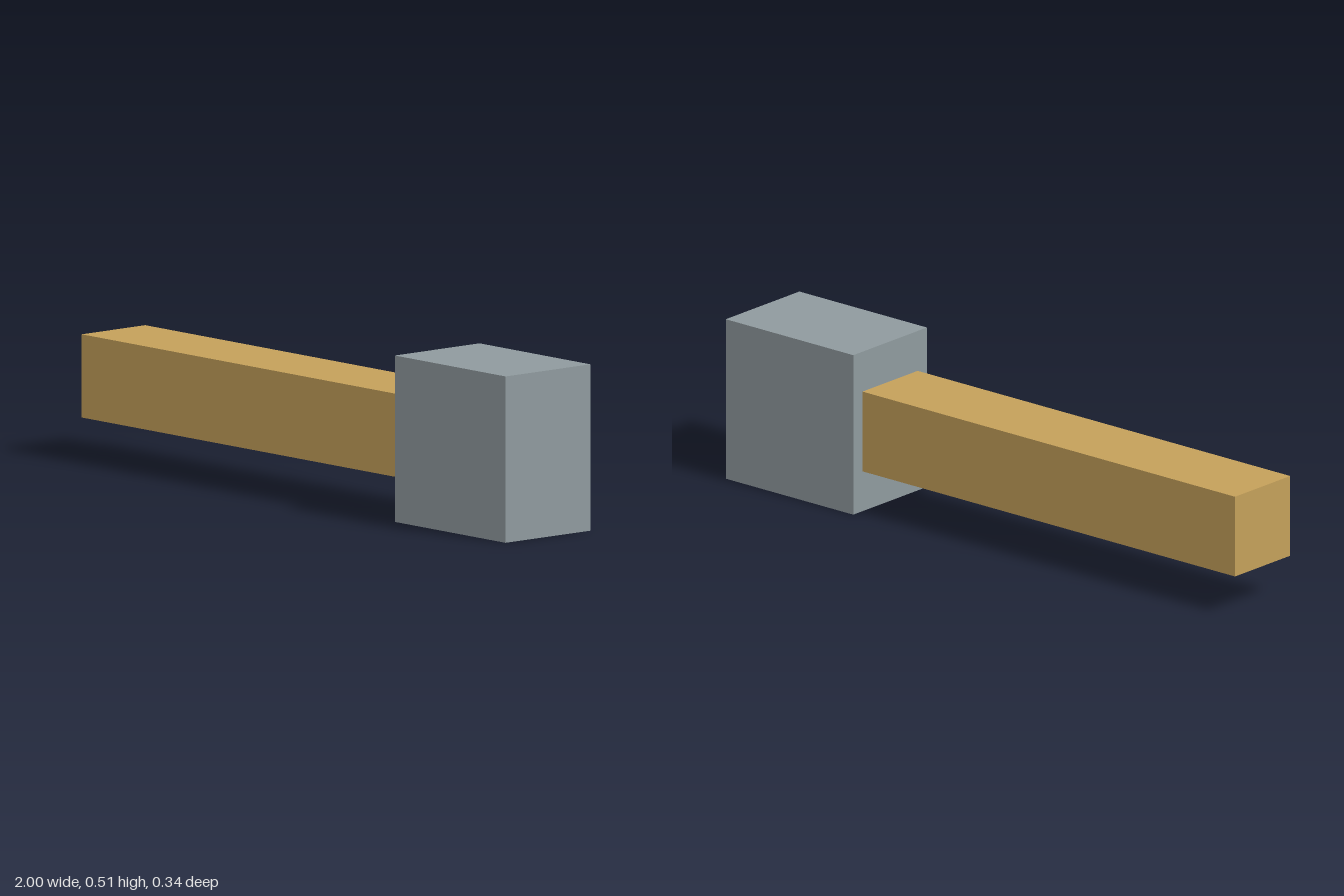
import * as THREE from 'three';

export function createModel() {
  const group = new THREE.Group();
  group.name = 'hammer';

  const wood = new THREE.MeshStandardMaterial({ color: 0xc4a05a });
  wood.name = 'wood';
  const steel = new THREE.MeshStandardMaterial({ color: 0x8f9a9e });
  steel.name = 'grey steel';

  // Block of a given size, centred at mid-height on the long axis
  const block = (name, material, length, height, depth, x) => {
    const mesh = new THREE.Mesh(new THREE.BoxGeometry(length, height, depth), material);
    mesh.name = name;
    mesh.position.set(x, 0.255, 0);
    group.add(mesh);
  };

  // Square handle butting against the head
  block('handle', wood, 1.49, 0.255, 0.255, -0.255);
  // Heavy block head
  block('head', steel, 0.51, 0.51, 0.34, 0.745);

  return group;
}
